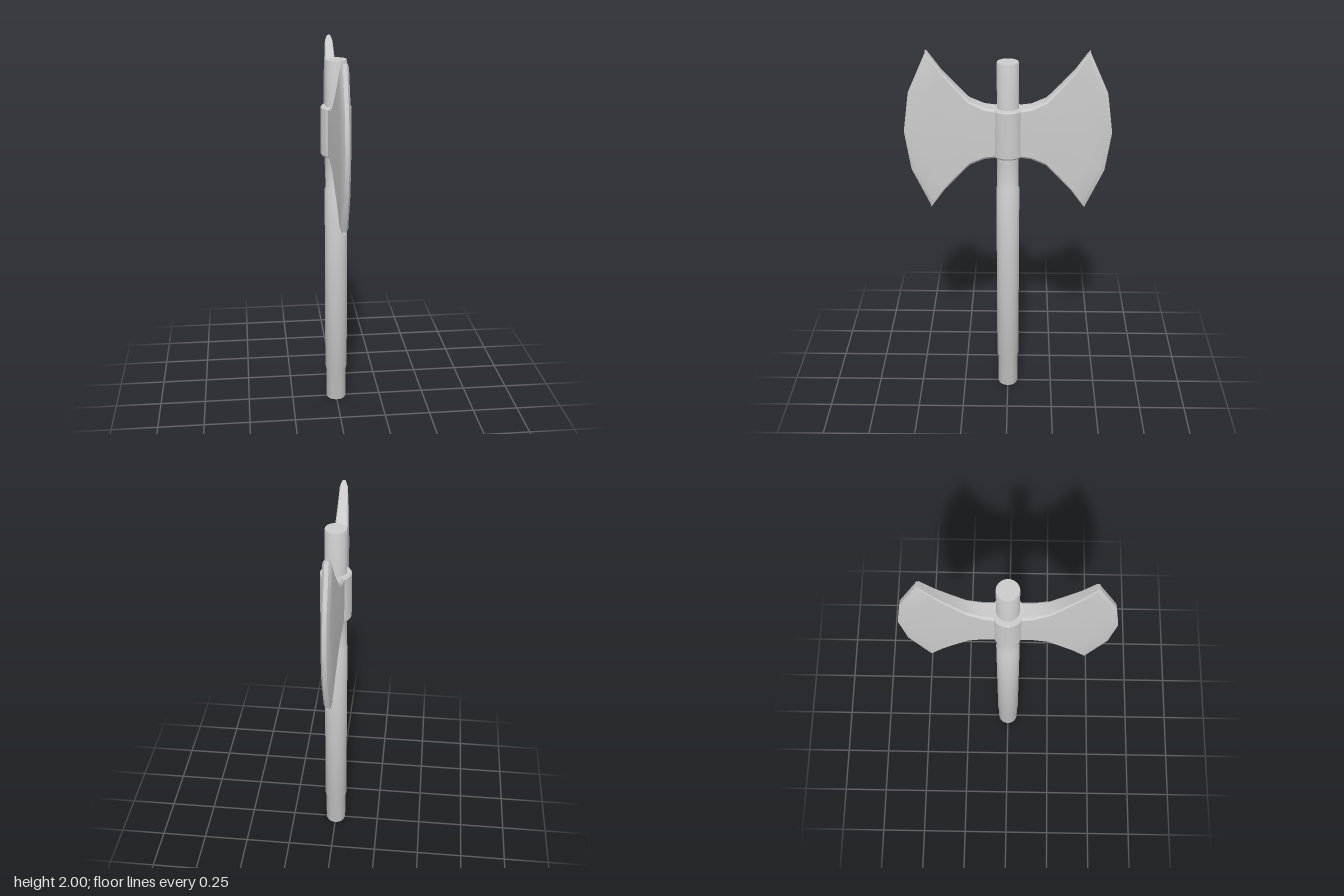
import * as THREE from 'three';
import { toCreasedNormals } from 'three/addons/utils/BufferGeometryUtils.js';

const MID_Y = 1.57; // height of the blade centre line

// Sections from socket to cutting edge: [z at rim, half height, bulge of the edge, half thickness]
const SECTIONS = [
  [0.05, 0.13, 0, 0.049],
  [0.12, 0.14, 0.02, 0.045],
  [0.197, 0.175, 0.045, 0.039],
  [0.268, 0.25, 0.07, 0.033],
  [0.335, 0.325, 0.095, 0.027],
  [0.397, 0.413, 0.112, 0.021],
  [0.41, 0.43, 0.125, 0.01],
];
const ROWS = [-1, -0.5, 0, 0.5, 1];
const BULGE = [0, 0.76, 1, 0.76, 0];

// One side of a section, bottom to top, with a small chamfer at both rims
function sectionSide([z, h, bulge, t]) {
  const inner = ROWS.map((v, k) => [t, MID_Y + v * (h - 0.012), z + bulge * BULGE[k]]);
  const rim = t * 0.78;
  return [[rim, MID_Y - h, z], ...inner, [rim, MID_Y + h, z]];
}

function bladeGeometry() {
  const rings = SECTIONS.map((s) => {
    const side = sectionSide(s);
    return [...side, ...side.map(([x, y, z]) => [-x, y, z]).reverse()];
  });
  const n = rings[0].length;
  const pos = [];
  const quad = (a, b, c, d) => pos.push(...a, ...b, ...c, ...a, ...c, ...d);
  for (let i = 0; i < rings.length - 1; i++) {
    for (let j = 0; j < n; j++) {
      const k = (j + 1) % n;
      quad(rings[i][j], rings[i][k], rings[i + 1][k], rings[i + 1][j]);
    }
  }
  // Narrow face along the cutting edge
  const end = rings[rings.length - 1];
  for (let j = 0; j < n / 2 - 1; j++) {
    quad(end[j], end[j + 1], end[n - 2 - j], end[n - 1 - j]);
  }
  const geo = new THREE.BufferGeometry();
  geo.setAttribute('position', new THREE.Float32BufferAttribute(pos, 3));
  return toCreasedNormals(geo, 0.4);
}

function turned(profile, segments) {
  const points = profile.map(([r, y]) => new THREE.Vector2(r, y));
  return toCreasedNormals(new THREE.LatheGeometry(points, segments), 0.5);
}

export function createModel() {
  const group = new THREE.Group();
  const material = new THREE.MeshStandardMaterial({ color: 0xcccccc });
  const add = (name, geometry) => {
    const mesh = new THREE.Mesh(geometry, material);
    mesh.name = name;
    group.add(mesh);
    return mesh;
  };

  // Shaft with a slightly thicker grip
  add('handle', turned([
    [0, 0], [0.053, 0], [0.056, 0.008], [0.056, 0.19], [0.061, 0.2],
    [0.061, 1.25], [0.057, 1.26], [0.056, 1.4], [0.056, 1.935], [0.054, 1.94], [0, 1.94],
  ], 32));

  // Socket around the shaft
  add('collar', turned([
    [0.05, 1.438], [0.075, 1.438], [0.081, 1.447],
    [0.081, 1.692], [0.075, 1.701], [0.05, 1.701],
  ], 32));

  // Two matching blades
  const blade = bladeGeometry();
  add('frontBlade', blade);
  add('backBlade', blade).rotation.y = Math.PI;

  return group;
}
